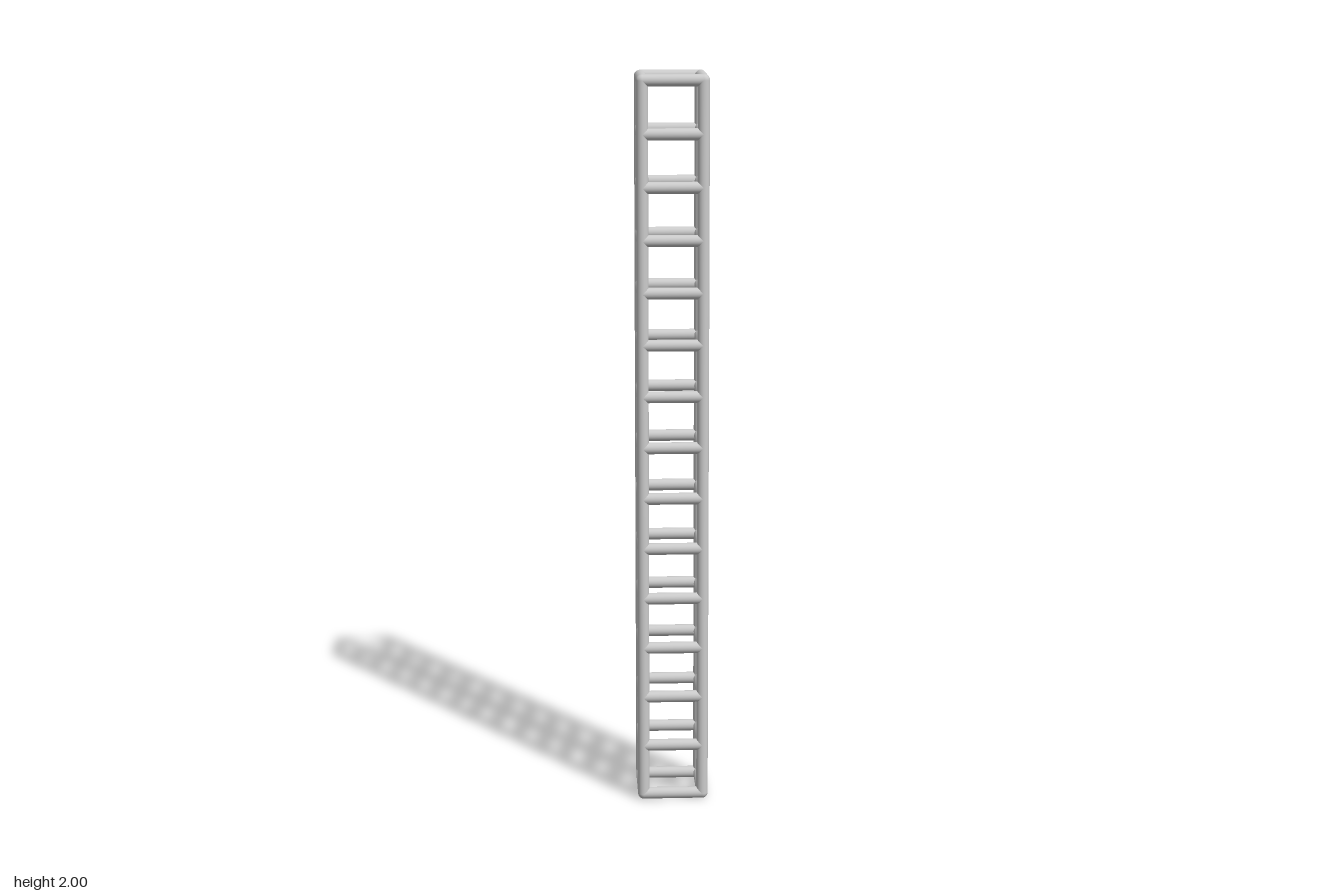
import * as THREE from 'three';

const R = 0.016;        // tube radius
const HALF = 0.081;     // post centre offset from the axis
const LEVELS = 15;      // horizontal frames
const Y0 = R, Y1 = 2 - R;

export function createModel() {
  const group = new THREE.Group();
  const material = new THREE.MeshStandardMaterial({ color: 0xcccccc });
  const postGeo = new THREE.CylinderGeometry(R, R, Y1 - Y0, 20);
  const rungGeo = new THREE.CylinderGeometry(R, R, 2 * HALF, 20, 1, true);
  const jointGeo = new THREE.SphereGeometry(R, 20, 12);

  const add = (parent, geometry, name, x, y, z) => {
    const mesh = new THREE.Mesh(geometry, material);
    mesh.name = name;
    mesh.position.set(x, y, z);
    parent.add(mesh);
    return mesh;
  };

  // Four corner posts with rounded ends
  for (const sx of [-1, 1]) {
    for (const sz of [-1, 1]) {
      const x = sx * HALF, z = sz * HALF;
      const post = new THREE.Group();
      post.name = (sz > 0 ? 'front' : 'back') + (sx > 0 ? 'Left' : 'Right') + 'Post';
      add(post, postGeo, 'postTube', x, 1, z);
      add(post, jointGeo, 'bottomJoint', x, Y0, z);
      add(post, jointGeo, 'topJoint', x, Y1, z);
      group.add(post);
    }
  }

  // Evenly spaced square frames of four rungs
  for (let i = 0; i < LEVELS; i++) {
    const y = Y0 + (Y1 - Y0) * i / (LEVELS - 1);
    const frame = new THREE.Group();
    frame.name = 'rungFrame' + (i + 1);
    for (const s of [-1, 1]) {
      add(frame, rungGeo, s > 0 ? 'frontRung' : 'backRung', 0, y, s * HALF).rotation.z = Math.PI / 2;
      add(frame, rungGeo, s > 0 ? 'leftRung' : 'rightRung', s * HALF, y, 0).rotation.x = Math.PI / 2;
    }
    group.add(frame);
  }
  return group;
}
